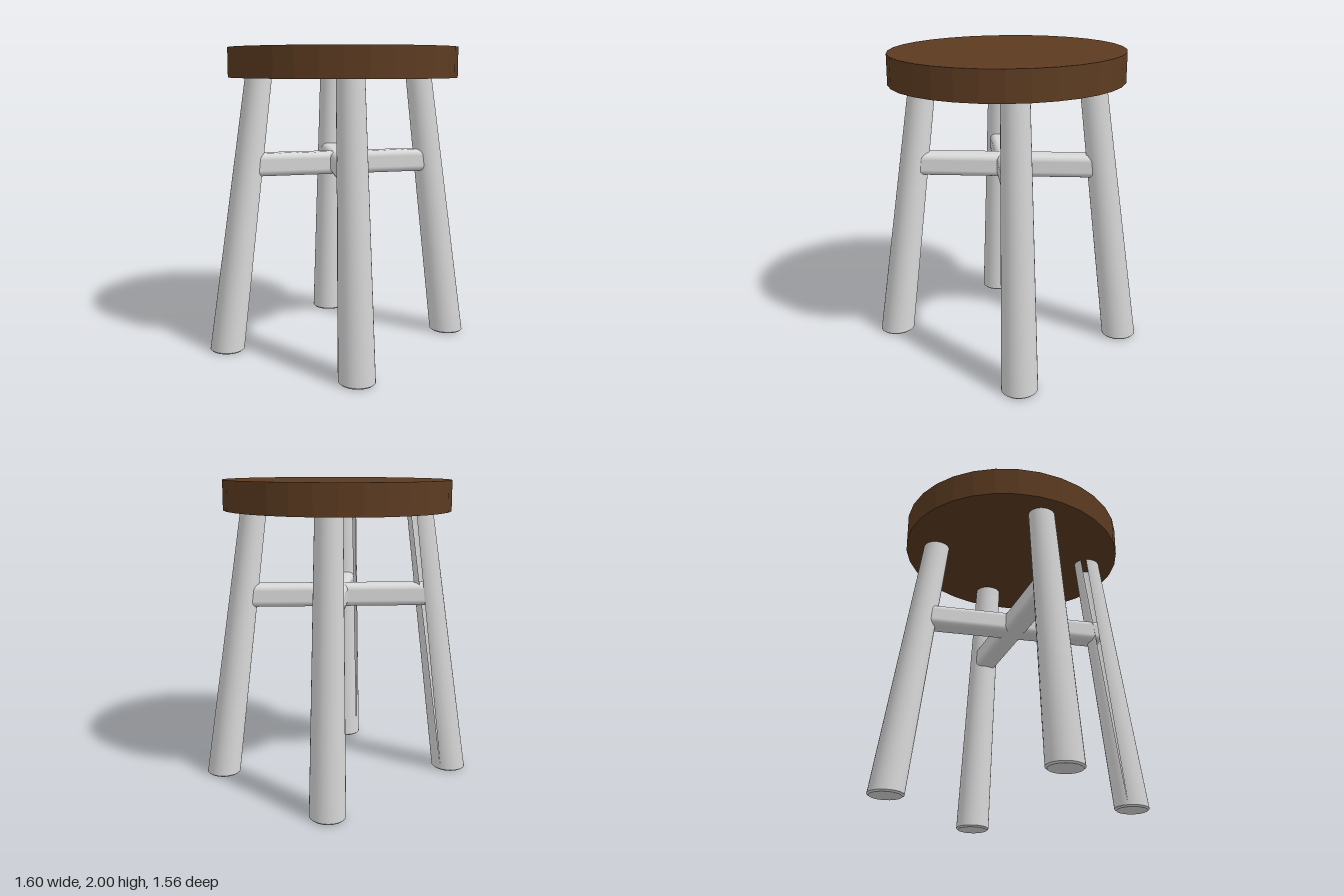
import * as THREE from 'three';
import { RoundedBoxGeometry } from 'three/addons/geometries/RoundedBoxGeometry.js';

const SEAT_BOTTOM = 1.805, SEAT_TOP = 2, FOOT = 0.01;
const STRETCH_Z = 1.06; // the whole stool is slightly longer in z

// Each leg: foot centre, top centre (x, z), and an optional tapering split in its inner side
const LEGS = [
  { name: 'frontLeftLeg', foot: [0.69, 0.38], top: [0.475, 0.27] },
  { name: 'frontRightLeg', foot: [-0.48, 0.63], top: [-0.343, 0.435], split: 3.52 },
  { name: 'backRightLeg', foot: [-0.692, -0.382], top: [-0.477, -0.272], split: 1.95 },
  { name: 'backLeftLeg', foot: [0.475, -0.632], top: [0.337, -0.435] },
];

const legCentre = (leg, y) => {
  const t = y / SEAT_BOTTOM;
  return leg.foot.map((f, i) => f + (leg.top[i] - f) * t);
};

// Tapered, leaning tube with a horizontal foot
function legGeometry(leg) {
  const geo = new THREE.CylinderGeometry(0.085, 0.111, 1, 32, 1, true);
  const { position: p, normal: n, uv } = geo.attributes;
  const gap = leg.split === undefined ? 0 : 0.45;
  for (let i = 0; i < p.count; i++) {
    const t = uv.getY(i), y = FOOT + t * (SEAT_BOTTOM - FOOT);
    const open = gap * t;
    const a = (leg.split ?? 0) + open / 2 + uv.getX(i) * (Math.PI * 2 - open);
    const r = 0.111 + (0.085 - 0.111) * t;
    const [cx, cz] = legCentre(leg, y);
    p.setXYZ(i, cx + Math.sin(a) * r, y, cz + Math.cos(a) * r * STRETCH_Z);
    n.setXYZ(i, Math.sin(a), 0, Math.cos(a));
  }
  return geo;
}

export function createModel() {
  const stool = new THREE.Group();
  stool.name = 'stool';
  const wood = new THREE.MeshStandardMaterial({ color: 0x5c3b21 });
  wood.name = 'brownWood';
  const paint = new THREE.MeshStandardMaterial({ color: 0xd8d8d8, side: THREE.DoubleSide });
  paint.name = 'paleGrey';

  const add = (name, geo, mat, parent = stool) => {
    const mesh = new THREE.Mesh(geo, mat);
    mesh.name = name;
    parent.add(mesh);
    return mesh;
  };

  // Faceted oval seat
  const seatGeo = new THREE.CylinderGeometry(1, 1, SEAT_TOP - SEAT_BOTTOM, 32)
    .scale(0.728, 1, 0.782).toNonIndexed();
  seatGeo.computeVertexNormals();
  add('seat', seatGeo, wood).position.set(0.006, (SEAT_TOP + SEAT_BOTTOM) / 2, 0);

  // Splayed legs with a small bevel at the foot
  for (const leg of LEGS) {
    const group = new THREE.Group();
    group.name = leg.name;
    stool.add(group);
    add('shaft', legGeometry(leg), paint, group);
    const bevel = new THREE.CylinderGeometry(0.111, 0.1, FOOT, 32).scale(1, 1, STRETCH_Z);
    add('foot', bevel, paint, group).position.set(leg.foot[0], FOOT / 2, leg.foot[1]);
  }

  // Crossed stretchers joining opposite legs
  const barY = 1.243;
  for (const i of [0, 1]) {
    const [ax, az] = legCentre(LEGS[i], barY);
    const [bx, bz] = legCentre(LEGS[i + 2], barY);
    const length = Math.hypot(ax - bx, az - bz);
    const bar = add('stretcher' + (i + 1), new RoundedBoxGeometry(length, 0.15, 0.15, 4, 0.04), paint);
    bar.position.set((ax + bx) / 2, barY, (az + bz) / 2);
    bar.rotation.y = Math.atan2(bz - az, ax - bx);
  }
  return stool;
}
